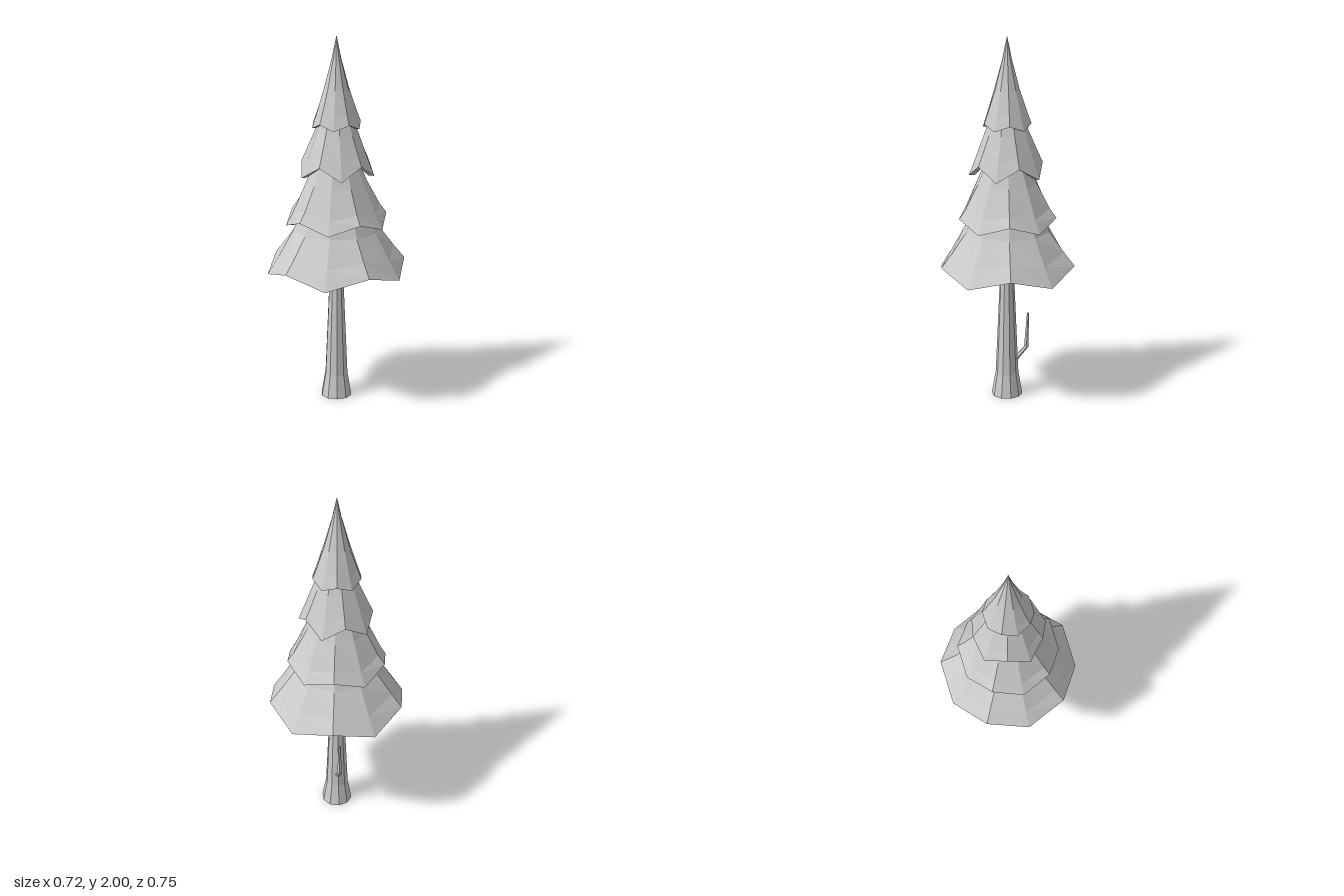
import * as THREE from 'three';

const material = new THREE.MeshStandardMaterial({ color: 0xcccccc, flatShading: true });

// Ring of points around a centre; zig lifts even points and drops odd ones, flare widens the odd ones
function ring(n, r, y, { turn = 0, zig = 0, flare = 0, x = 0, z = 0 } = {}) {
  return Array.from({ length: n }, (_, i) => {
    const a = turn + (i * Math.PI * 2) / n, s = i % 2 ? -1 : 1;
    const rr = r * (1 - flare * s);
    return new THREE.Vector3(x + rr * Math.sin(a), y + zig * s, z + rr * Math.cos(a));
  });
}

// Skin a stack of rings, listed from top to bottom along the outside
function loft(name, rings) {
  const pos = [];
  const tri = (a, b, c) => {
    if (a.distanceTo(b) < 1e-6 || b.distanceTo(c) < 1e-6 || c.distanceTo(a) < 1e-6) return;
    for (const p of [a, b, c]) pos.push(p.x, p.y, p.z);
  };
  for (let k = 0; k + 1 < rings.length; k++) {
    const T = rings[k], B = rings[k + 1], n = T.length;
    for (let i = 0; i < n; i++) {
      const j = (i + 1) % n;
      tri(T[i], B[i], B[j]);
      tri(T[i], B[j], T[j]);
    }
  }
  const geometry = new THREE.BufferGeometry();
  geometry.setAttribute('position', new THREE.Float32BufferAttribute(pos, 3));
  geometry.computeVertexNormals();
  const mesh = new THREE.Mesh(geometry, material);
  mesh.name = name;
  return mesh;
}

// Hollow skirt of foliage: flared outside, jagged thick rim, conical underside with a flat ceiling
function foliageTier({ name, profile, turn, zig, flare = 0, rim, ceiling }) {
  const last = profile.length - 1;
  const rings = profile.map(([r, y], i) => {
    const share = i === last ? 1 : i === last - 1 ? 0.6 : 0;
    return ring(10, r, y, { turn, zig: zig * share, flare: flare * share });
  });
  const [r, y] = profile[last];
  rings.push(ring(10, r - rim, y, { turn, zig, flare }));
  rings.push(ring(10, ceiling[0], ceiling[1], { turn }));
  rings.push(ring(10, 0, ceiling[1], { turn }));
  return loft(name, rings);
}

export function createModel() {
  const tree = new THREE.Group();
  tree.name = 'pineTree';

  // Foliage
  const tiers = [
    { name: 'bottomFoliage', profile: [[0, 1.21], [0.14, 1.18], [0.235, 0.96], [0.315, 0.835], [0.375, 0.75]],
      turn: -0.055, zig: 0.03, rim: 0.05, ceiling: [0.117, 0.9] },
    { name: 'lowerFoliage', profile: [[0, 1.45], [0.08, 1.42], [0.165, 1.22], [0.235, 1.075], [0.272, 1.015]],
      turn: -0.055, zig: 0.026, rim: 0.04, ceiling: [0.09, 1.14] },
    { name: 'upperFoliage', profile: [[0, 1.7], [0.055, 1.66], [0.118, 1.49], [0.167, 1.365], [0.196, 1.295]],
      turn: 0.239, zig: 0.035, flare: 0.035, rim: 0.03, ceiling: [0.07, 1.39] },
    { name: 'topFoliage', profile: [[0, 2], [0.025, 1.88], [0.068, 1.72], [0.11, 1.59], [0.131, 1.53]],
      turn: 0, zig: 0.015, rim: 0.02, ceiling: [0.045, 1.61] },
  ];
  for (const tier of tiers) tree.add(foliageTier(tier));

  // Trunk with a flared foot
  const trunk = [[0.028, 0.95], [0.036, 0.75], [0.063, 0.13], [0.072, 0.08], [0.085, 0], [0, 0]];
  tree.add(loft('trunk', trunk.map(([r, y]) => ring(10, r, y, { turn: 0.15 }))));

  // Bare side branch: grows out of the trunk, then bends upright
  const branch = [
    [0, 0.053, 0.48, -0.102], [0.006, 0.053, 0.478, -0.102],
    [0.013, 0.05, 0.28, -0.093], [0.018, 0.02, 0.205, -0.04],
  ];
  tree.add(loft('branch', branch.map(([r, x, y, z]) => ring(5, r, y, { x, z }))));

  return tree;
}
